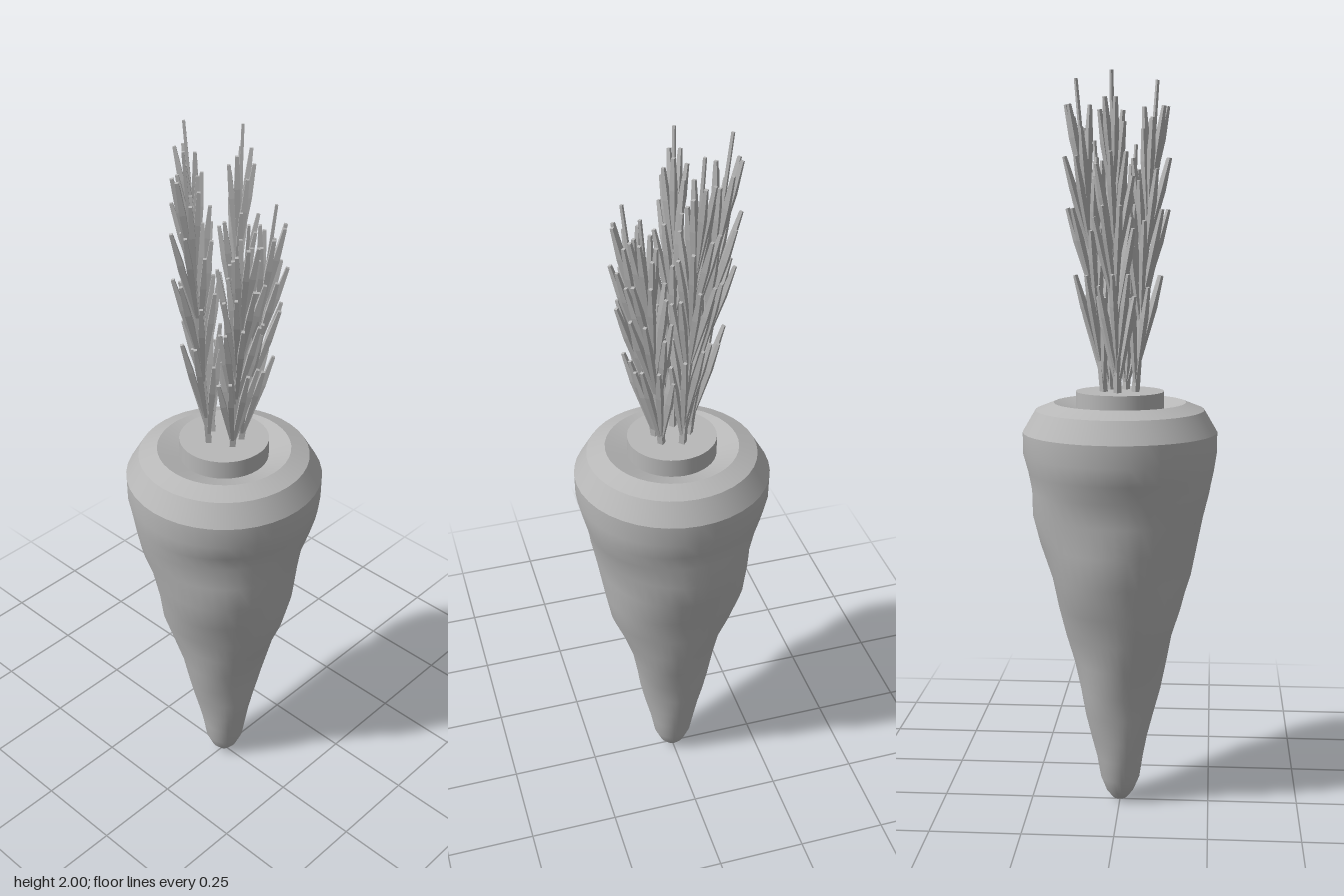
import * as THREE from 'three';
import { mergeGeometries } from 'three/addons/utils/BufferGeometryUtils.js';

const grey = new THREE.MeshStandardMaterial({ color: 0xb8b8b8 });
grey.name = 'plain grey';

function addMesh(parent, geometry, name) {
  const mesh = new THREE.Mesh(geometry, grey);
  mesh.name = name;
  parent.add(mesh);
  return mesh;
}

function lathe(points, segments = 40) {
  return new THREE.LatheGeometry(points.map(([r, y]) => new THREE.Vector2(r, y)), segments);
}

// Tapering, gently lumpy root
function rootBody() {
  const profile = [
    [0, 0], [0.02, 0.008], [0.038, 0.03], [0.055, 0.07], [0.066, 0.13], [0.079, 0.19],
    [0.094, 0.26], [0.108, 0.33], [0.126, 0.41], [0.148, 0.49], [0.172, 0.57], [0.195, 0.66],
    [0.215, 0.75], [0.228, 0.83], [0.239, 0.9], [0.253, 0.95], [0.264, 1.0], [0.265, 1.06],
  ];
  const geometry = lathe(profile);
  const p = geometry.attributes.position;
  for (let i = 0; i < p.count; i++) {
    const x = p.getX(i), y = p.getY(i), z = p.getZ(i);
    const a = Math.atan2(x, z);
    const fade = Math.min(1, y / 0.15) * Math.min(1, Math.max(0, (1.0 - y) / 0.12));
    const k = 1 + 0.025 * fade * (Math.sin(2 * a + 13 * y) + Math.sin(3 * a - 21 * y + 1));
    p.setXYZ(i, x * k, y, z * k);
  }
  // Keep the lathe seam smooth after reshaping
  geometry.computeVertexNormals();
  const n = geometry.attributes.normal;
  const rows = profile.length, last = 40 * rows;
  for (let j = 0; j < rows; j++) {
    const v = new THREE.Vector3().fromBufferAttribute(n, j)
      .add(new THREE.Vector3().fromBufferAttribute(n, last + j)).normalize();
    n.setXYZ(j, v.x, v.y, v.z);
    n.setXYZ(last + j, v.x, v.y, v.z);
  }
  return geometry;
}

// Square, tapered rod between two points
function rod(from, to, radii) {
  const dir = to.clone().sub(from);
  const length = dir.length();
  const points = radii.map((r, i) => [r, length * i / (radii.length - 1)]);
  const geometry = lathe([[0, 0], ...points, [0, length]], 4).toNonIndexed();
  geometry.computeVertexNormals();
  geometry.applyQuaternion(new THREE.Quaternion().setFromUnitVectors(
    new THREE.Vector3(0, 1, 0), dir.normalize()));
  return geometry.translate(from.x, from.y, from.z);
}

// Leaning stem with tiers of upright leaflets
function sprig(x, z, top) {
  const outward = new THREE.Vector3(x, 0, z).normalize();
  const base = outward.clone().multiplyScalar(0.045).setY(1.16);
  const tip = new THREE.Vector3(x, top, z);
  const at = (t) => base.clone().lerp(tip, t);
  const height = top - base.y;
  const facing = Math.atan2(z, x);
  const parts = [rod(base, tip, [0.011, 0.01, 0.007, 0.005])];
  const tiers = [[0.39, 0.05], [0.6, 0.053], [0.76, 0.05], [0.92, 0.032]];
  tiers.forEach(([t, spread], tier) => {
    const count = 7;
    for (let i = 0; i < count; i++) {
      const a = facing + (i + (tier % 2) / 2) * Math.PI * 2 / count;
      const end = t - 0.035 * (i % 3);
      const start = at(Math.max(0.02, end - 0.25 / height));
      const finish = at(end).add(
        new THREE.Vector3(Math.cos(a) * spread, 0, Math.sin(a) * spread));
      parts.push(rod(start, finish, [0.005, 0.008, 0.011, 0.006]));
    }
  });
  return mergeGeometries(parts);
}

export function createModel() {
  const model = new THREE.Group();
  model.name = 'carrot';
  addMesh(model, rootBody(), 'root');

  // Crisp shoulder bands and the dished top
  const crown = new THREE.Group();
  crown.name = 'crown';
  model.add(crown);
  const rim = [[0.265, 1.06], [0.23, 1.12], [0.18, 1.14], [0.11, 1.115]];
  for (let i = 0; i < rim.length - 1; i++) {
    addMesh(crown, lathe([rim[i], rim[i + 1]]), i < 2 ? 'shoulderBand' : 'dishedTop');
  }
  const cap = addMesh(crown, new THREE.CylinderGeometry(0.12, 0.12, 0.07, 40), 'stemCap');
  cap.position.y = 1.135;

  // Leafy sprigs: tip x, tip z, tip height
  const leaves = new THREE.Group();
  leaves.name = 'leaves';
  model.add(leaves);
  const tips = [
    [0.012, -0.145, 2.0], [-0.1, -0.035, 1.985], [0.112, -0.045, 1.99],
    [-0.036, 0.115, 1.83], [0.076, 0.1, 1.84],
  ];
  for (const [x, z, top] of tips) addMesh(leaves, sprig(x, z, top), 'leafSprig');
  return model;
}
